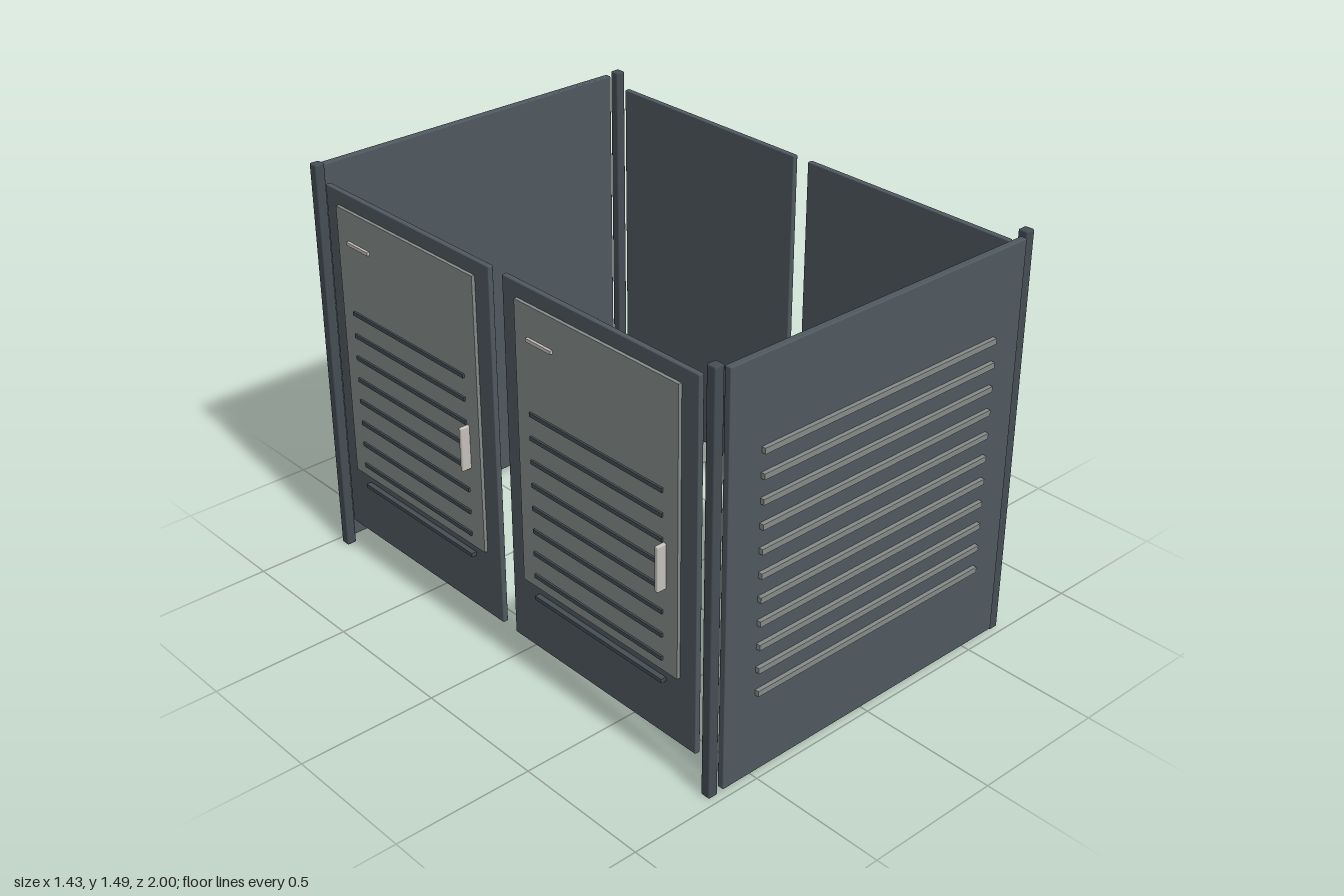
import * as THREE from 'three';
import { RoundedBoxGeometry } from 'three/addons/geometries/RoundedBoxGeometry.js';

const material = (name, color) => {
  const m = new THREE.MeshStandardMaterial({ color });
  m.name = name;
  return m;
};

export function createModel() {
  const slate = material('slate panel', 0x4f5960);
  const dark = material('dark trim', 0x454e54);
  const grey = material('pale grey', 0x868c8a);
  const metal = material('light metal', 0xc4c0ba);

  const model = new THREE.Group();
  model.name = 'louveredEnclosure';

  // Box given by its minimum and maximum corners, optionally with rounded edges
  function box(parent, name, mat, [x0, y0, z0], [x1, y1, z1], radius = 0) {
    const size = [x1 - x0, y1 - y0, z1 - z0];
    const geometry = radius
      ? new RoundedBoxGeometry(...size, 2, radius)
      : new THREE.BoxGeometry(...size);
    const mesh = new THREE.Mesh(geometry, mat);
    mesh.name = name;
    mesh.position.set((x0 + x1) / 2, (y0 + y1) / 2, (z0 + z1) / 2);
    parent.add(mesh);
  }

  // Louvered end panels, front and back
  for (const side of [1, -1]) {
    const end = new THREE.Group();
    end.name = side > 0 ? 'frontPanel' : 'backPanel';
    box(end, 'panelSheet', slate, [-0.63, 0.018, 0.96], [0.63, 1.472, 0.985], 0.004);
    for (let i = 0; i < 11; i++) {
      const y = 0.322 + i * 0.0845;
      box(end, 'panelLouver', grey, [-0.503, y - 0.01, 0.983], [0.503, y + 0.01, 1]);
    }
    if (side < 0) end.rotation.y = Math.PI;
    model.add(end);
  }

  // Corner posts
  for (const sx of [1, -1]) {
    for (const sz of [1, -1]) {
      const x = sx * 0.66, z = sz * 0.956;
      box(model, 'cornerPost', dark,
        [x - 0.018, 0, z - 0.018], [x + 0.018, 1.485, z + 0.018], 0.005);
    }
  }

  // Two doors on each side; s mirrors every part across x
  for (const s of [1, -1]) {
    for (const zc of [0.467, -0.467]) {
      const door = new THREE.Group();
      door.name = s > 0 ? 'leftDoor' : 'rightDoor';
      door.position.z = zc;
      const part = (name, mat, xa, xb, ya, yb, za, zb, r) =>
        box(door, name, mat,
          [Math.min(s * xa, s * xb), ya, za], [Math.max(s * xa, s * xb), yb, zb], r);

      part('doorSheet', slate, 0.648, 0.668, 0.124, 1.43, -0.434, 0.434, 0.004);
      part('doorInset', grey, 0.666, 0.68, 0.373, 1.378, -0.364, 0.364);
      for (let i = 0; i < 9; i++) {
        const y = 0.334 + i * 0.0843;
        part('doorLouver', dark, 0.667, 0.687, y - 0.007, y + 0.007, -0.301, 0.301);
      }
      part('pullHandle', metal, 0.676, 0.714, 0.672, 0.832, 0.299, 0.314, 0.005);
      part('labelHolder', metal, 0.679, 0.69, 1.259, 1.271, -0.302, -0.186);
      model.add(door);
    }
  }

  return model;
}
